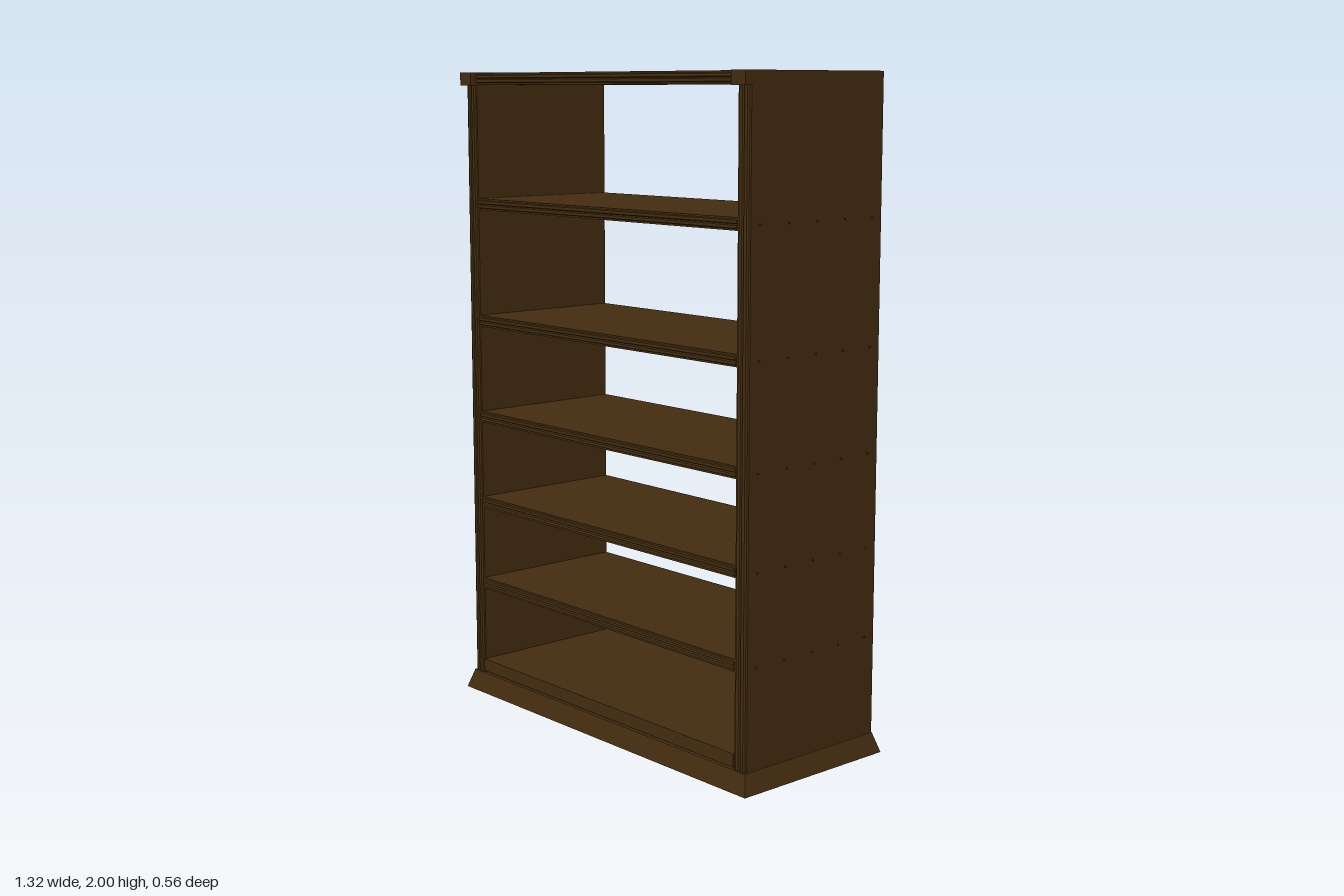
import * as THREE from 'three';

// Plank with a moulded front edge: section spans `width`, back at z = -0.26, front at z = 0.26
function mouldedPlank(width, length) {
  const h = width / 2, f = 0.26, s = new THREE.Shape();
  s.moveTo(-h, -f);
  s.lineTo(h, -f);
  s.lineTo(h, f - 0.006);
  s.lineTo(h * 0.72, f - 0.006);
  s.lineTo(h * 0.6, f);
  s.lineTo(h * 0.15, f);
  s.lineTo(0, f - 0.006);
  s.lineTo(-h * 0.15, f);
  s.lineTo(-h * 0.6, f);
  s.lineTo(-h * 0.72, f - 0.006);
  s.lineTo(-h, f - 0.006);
  s.closePath();
  const g = new THREE.ExtrudeGeometry(s, { depth: length, bevelEnabled: false });
  g.translate(0, 0, -length / 2);
  g.rotateX(Math.PI / 2); // section lies in x-z, length runs along y
  return g;
}

export function createModel() {
  const model = new THREE.Group();
  model.name = 'bookcase';
  const wood = new THREE.MeshStandardMaterial({ color: 0x442d10 });
  wood.name = 'dark wood';

  const add = (name, geometry, x, y, z) => {
    const m = new THREE.Mesh(geometry, wood);
    m.name = name;
    m.position.set(x, y, z);
    model.add(m);
    return m;
  };

  // Plinth: a box whose top is drawn in to give sloping sides
  const plinth = new THREE.BoxGeometry(1.324, 0.06, 0.56);
  const p = plinth.attributes.position;
  for (let i = 0; i < p.count; i++) {
    if (p.getY(i) > 0) p.setXYZ(i, Math.sign(p.getX(i)) * 0.642, 0.03, Math.sign(p.getZ(i)) * 0.262);
  }
  const flatPlinth = plinth.toNonIndexed();
  flatPlinth.computeVertexNormals();
  add('plinth', flatPlinth, 0, 0.03, 0);

  // Shelves, bottom board and top board between the sides
  const shelfCentres = [0.362, 0.632, 0.912, 1.222, 1.592];
  const shelfGeometry = mouldedPlank(0.036, 1.184).rotateZ(Math.PI / 2);
  shelfCentres.forEach((y) => add('shelf', shelfGeometry, 0, y, 0));
  add('topBoard', shelfGeometry, 0, 1.981, 0);
  add('bottomBoard', new THREE.BoxGeometry(1.184, 0.04, 0.52), 0, 0.086, 0);

  // Sides, corner blocks and the small pins at each shelf
  const sideGeometry = mouldedPlank(0.05, 1.94);
  const blockGeometry = new THREE.BoxGeometry(0.055, 0.04, 0.026);
  const pinGeometry = new THREE.CylinderGeometry(0.003, 0.003, 0.006, 6).rotateZ(Math.PI / 2);
  for (const side of [-1, 1]) {
    const name = side > 0 ? 'left' : 'right';
    add(name + 'Side', sideGeometry, side * 0.616, 1.03, 0);
    add(name + 'CornerBlock', blockGeometry, side * 0.6155, 1.98, 0.267);
    for (const y of shelfCentres) {
      for (let k = -2; k <= 2; k++) add(name + 'Pin', pinGeometry, side * 0.641, y, k * 0.11);
    }
  }
  return model;
}
